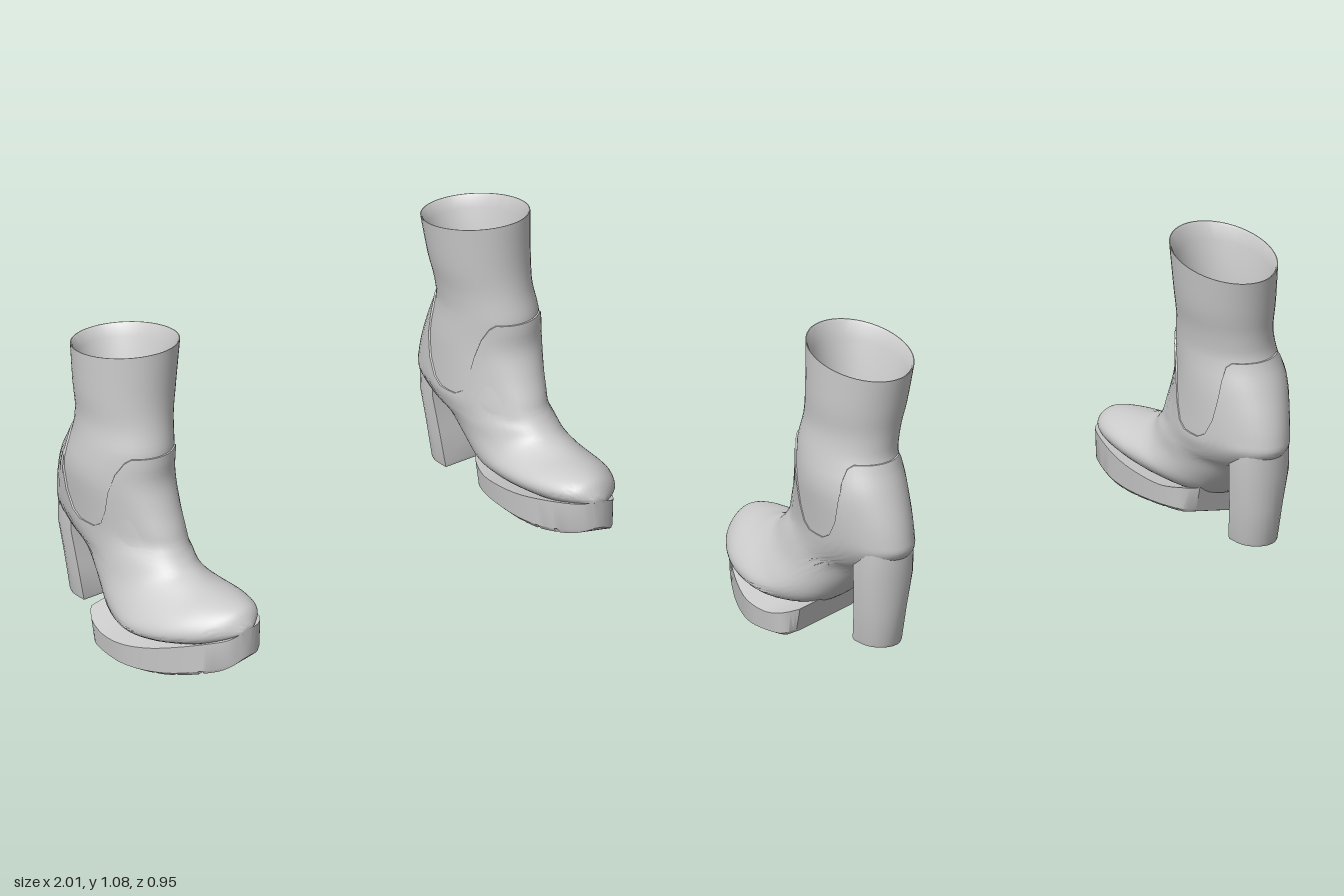
import * as THREE from 'three';
import { toCreasedNormals } from 'three/addons/utils/BufferGeometryUtils.js';

const COLS = 48;
const { smoothstep, lerp } = THREE.MathUtils;

// Boot body stations, from shaft top to toe tip:
// front z, front y, back z, back y, inner x, outer x
const BODY = [
  [0.01, 1.075, -0.405, 0.995, 0.58, 0.92],
  [0.005, 0.90, -0.385, 0.87, 0.60, 0.92],
  [0.015, 0.79, -0.37, 0.77, 0.622, 0.916],
  [0.04, 0.70, -0.38, 0.69, 0.625, 0.935],
  [0.04, 0.60, -0.42, 0.60, 0.62, 0.95],
  [0.07, 0.51, -0.455, 0.51, 0.62, 0.94],
  [0.10, 0.44, -0.475, 0.43, 0.62, 0.93],
  [0.115, 0.40, -0.472, 0.38, 0.62, 0.925],
  [0.13, 0.375, -0.40, 0.32, 0.63, 0.92],
  [0.15, 0.35, -0.31, 0.285, 0.635, 0.92],
  [0.18, 0.325, -0.22, 0.20, 0.64, 0.93],
  [0.22, 0.31, -0.12, 0.125, 0.635, 0.955],
  [0.28, 0.292, 0.02, 0.11, 0.625, 0.975],
  [0.35, 0.283, 0.18, 0.12, 0.625, 0.955],
  [0.41, 0.272, 0.33, 0.14, 0.645, 0.90],
  [0.445, 0.255, 0.42, 0.165, 0.68, 0.84],
  [0.47, 0.215, 0.47, 0.19, 0.73, 0.78],
];

// Platform stations, from toe to waist: z, inner x, outer x, top y, bottom y
const SOLE = [
  [0.47, 0.735, 0.775, 0.20, 0.10],
  [0.455, 0.695, 0.82, 0.19, 0.085],
  [0.41, 0.655, 0.86, 0.18, 0.065],
  [0.30, 0.625, 0.925, 0.155, 0.04],
  [0.20, 0.615, 0.97, 0.135, 0.032],
  [0.10, 0.615, 1.0, 0.125, 0.035],
  [0, 0.63, 1.0, 0.12, 0.04],
  [-0.08, 0.66, 0.985, 0.135, 0.045],
  [-0.13, 0.70, 0.95, 0.15, 0.055],
];

// Smooth interpolation of a station table at a fractional row
function sample(table, u) {
  const last = table.length - 1;
  const i = Math.min(Math.floor(u), last - 1), t = u - i;
  const row = (k) => table[Math.max(0, Math.min(last, k))];
  return table[0].map((_, c) => {
    const a = row(i - 1)[c], b = row(i)[c], d = row(i + 1)[c], e = row(i + 2)[c];
    const m0 = (d - a) / 2, m1 = (e - b) / 2;
    return b + t * (m0 + t * (3 * (d - b) - 2 * m0 - m1 + t * (2 * (b - d) + m0 + m1)));
  });
}

// The foot rolls outwards: the outer edge sits lower
const roll = (x) => -0.2 * (x - 0.8);

// Point on the boot body at station u, angle a (0 = front), scaled about the station centre
function bodyPoint(u, a, s = 1) {
  const [fz, fy, bz, by, xi, xo] = sample(BODY, u);
  const foot = smoothstep(u, 8, 12);
  const c = Math.cos(a) * s;
  const egg = 1 - 0.22 * foot * Math.cos(a);
  const x = (xi + xo) / 2 + (xo - xi) / 2 * Math.sin(a) * s * egg;
  const k = (1 + c) / 2;
  return [x, lerp(by, fy, k) + foot * roll(x), lerp(bz, fz, k)];
}

// Surface through closed rings; side = -1 mirrors it across x
function loft(rows, cols, point, side, crease) {
  const pos = [], idx = [];
  for (let i = 0; i < rows; i++) {
    for (let j = 0; j < cols; j++) {
      const [x, y, z] = point(i, j);
      pos.push(x * side, y, z);
    }
  }
  for (let i = 0; i < rows - 1; i++) {
    for (let j = 0; j < cols; j++) {
      const k = (j + 1) % cols;
      const a = i * cols + j, b = a + cols, c = i * cols + k, d = c + cols;
      if (side > 0) idx.push(a, b, c, c, b, d);
      else idx.push(a, c, b, c, d, b);
    }
  }
  const g = new THREE.BufferGeometry();
  g.setAttribute('position', new THREE.Float32BufferAttribute(pos, 3));
  g.setIndex(idx);
  return toCreasedNormals(g, crease);
}

const angle = (j) => (j / COLS) * Math.PI * 2;

// Shaft: up the lining, over the rim and down the outside, tucked into the foot
function shaft(side) {
  const rows = [[7, 0], [7, 0.6], [5, 0.62], [3, 0.66], [2, 0.72], [1, 0.8], [0.4, 0.9], [0.08, 0.96], [0, 0.985]];
  for (let u = 0; u <= 3; u += 0.25) rows.push([u, 1 - 0.03 * smoothstep(u, 2, 3)]);
  for (let u = 3.5; u <= 8; u += 0.5) rows.push([u, 0.965]);
  return loft(rows.length, COLS, (i, j) => bodyPoint(rows[i][0], angle(j), rows[i][1]), side, 0.7);
}

// Foot: collar high at front and back, scooped low at the sides, running to the toe
function upper(side) {
  const n = 52, end = BODY.length - 1;
  return loft(n + 2, COLS, (i, j) => {
    const a = angle(j);
    const start = 3 + 3.6 * (1 - smoothstep(Math.abs(Math.cos(a)), 0.1, 0.8));
    if (i === 0) return bodyPoint(start, a, 0.95);
    if (i === n + 1) return bodyPoint(end, a, 0);
    const u = lerp(start, end, (i - 1) / (n - 1));
    // ankle hollows beside the front of the instep
    const hollow = Math.exp(-(((u - 6.5) / 1.8) ** 2)) * Math.exp(-(((Math.abs(Math.sin(a)) - 0.75) / 0.2) ** 2));
    return bodyPoint(u, a, Math.cos(a) > 0 ? 1 - 0.05 * hollow : 1);
  }, side, 0.8);
}

// Platform: chamfered section with tread grooves across the bottom
function platform(side) {
  const section = [[0.88, 0], [0.96, 0.12], [1, 1], [-1, 1], [-0.96, 0.12], [-0.88, 0]];
  const end = SOLE.length - 1;
  const rows = [[0, 0, 0], [0, 0, 1]];
  for (let u = 0.2; u < 2.2; u += 0.2) rows.push([u, 0, 1]);
  for (let u = 2.4; u < 7; u += 0.72) {
    rows.push([u - 0.07, 0, 1], [u - 0.06, 1, 1], [u + 0.06, 1, 1], [u + 0.07, 0, 1], [u + 0.36, 0, 1]);
  }
  rows.push([7.4, 0, 1], [7.7, 0, 1], [end, 0, 1], [end, 0, 0]);
  return loft(rows.length, section.length, (i, j) => {
    const [u, groove, s] = rows[i];
    const [z, xi, xo, top, bottom] = sample(SOLE, u);
    const [w, h] = section[j];
    const x = (xi + xo) / 2 + (xo - xi) / 2 * w * s;
    const t = lerp(0.5, h, s);
    const y = lerp(bottom + (h === 0 ? groove * 0.014 : 0), top, t);
    return [x, y + roll(x), z + 0.03 * (1 - t) * smoothstep(u, 6.5, end)];
  }, side, 0.5);
}

// Block heel: rounded back, flat breast, tapering to the ground
function heel(side) {
  // y, front z, back z, half width, scale
  const rows = [
    [0.39, -0.335, -0.462, 0.1, 0], [0.39, -0.335, -0.462, 0.1, 1], [0.3, -0.333, -0.46, 0.1, 1],
    [0.17, -0.315, -0.442, 0.085, 1], [0.05, -0.295, -0.425, 0.075, 1],
    [0.04, -0.297, -0.42, 0.072, 1], [0.04, -0.297, -0.42, 0.072, 0],
  ];
  const outline = [[-1, 1], [1, 1]];
  for (let k = 0; k <= 12; k++) {
    const a = (k / 12) * Math.PI;
    outline.push([Math.cos(a), 0.3 - 1.3 * Math.sin(a)]);
  }
  return loft(rows.length, outline.length, (i, j) => {
    const [y, f, b, w, s] = rows[i];
    const [p, q] = outline[j];
    return [0.775 + p * w * s, y, (f + b) / 2 + q * (f - b) / 2 * s];
  }, side, 0.6);
}

export function createModel() {
  const group = new THREE.Group();
  group.name = 'ankleBoots';
  const material = new THREE.MeshStandardMaterial({ color: 0xcccccc, side: THREE.DoubleSide });
  const parts = { shaft, upper, platform, heel };
  for (const side of [1, -1]) {
    const boot = new THREE.Group();
    boot.name = side > 0 ? 'leftBoot' : 'rightBoot';
    for (const [name, build] of Object.entries(parts)) {
      const mesh = new THREE.Mesh(build(side), material);
      mesh.name = name;
      boot.add(mesh);
    }
    group.add(boot);
  }
  return group;
}
